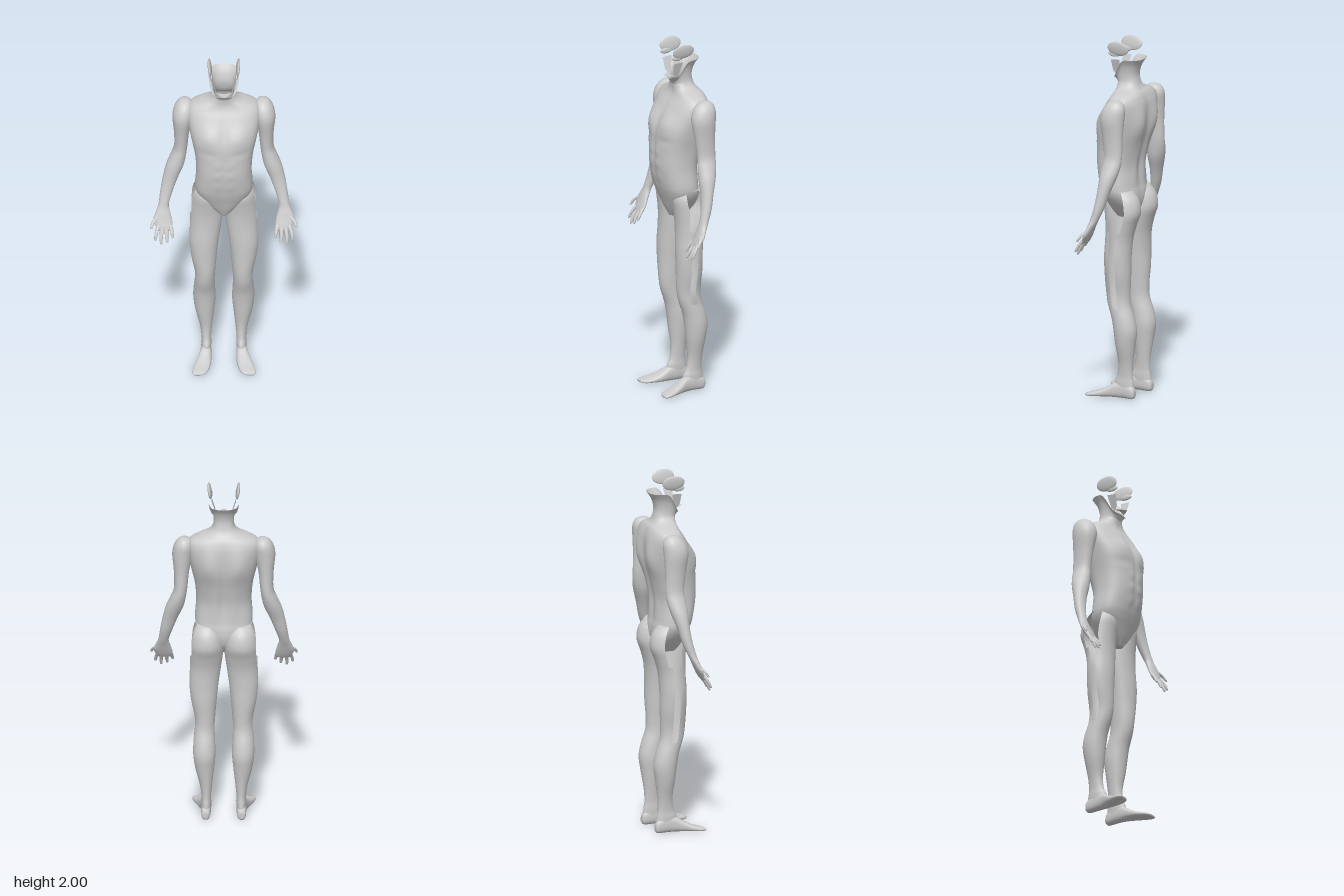
import * as THREE from 'three';

const material = new THREE.MeshStandardMaterial({ color: 0xcccccc, side: THREE.DoubleSide });

// Catmull-Rom blend of matching numbers in four rows
function blend(a, b, c, d, t) {
  return b.map((p, i) => p + 0.5 * t * (c[i] - a[i] +
    t * (2 * a[i] - 5 * p + 4 * c[i] - d[i] + t * (3 * (p - c[i]) + d[i] - a[i]))));
}

// Skin over cross-sections. Row: [height, xMin, xMax, zMin, zMax].
// shape(point, angle) adjusts a point, skip(height, segment) leaves a face out.
function loft(rows, { seg = 32, steps = 5, power = 2, shape, skip, capStart = true, capEnd = true } = {}) {
  const rings = [];
  const at = i => rows[Math.min(Math.max(i, 0), rows.length - 1)];
  for (let i = 0; i < rows.length - 1; i++)
    for (let s = 0; s < steps; s++) rings.push(blend(at(i - 1), at(i), at(i + 1), at(i + 2), s / steps));
  rings.push(at(rows.length - 1));
  const pos = [], index = [];
  const round = v => Math.sign(v) * Math.pow(Math.abs(v), 2 / power);
  for (const [y, xa, xb, za, zb] of rings)
    for (let j = 0; j < seg; j++) {
      const a = j / seg * Math.PI * 2;
      const p = new THREE.Vector3(
        (xa + xb) / 2 + (xb - xa) / 2 * round(Math.cos(a)), y,
        (za + zb) / 2 + (zb - za) / 2 * round(Math.sin(a)));
      if (shape) shape(p, a);
      pos.push(p.x, p.y, p.z);
    }
  for (let i = 0; i < rings.length - 1; i++)
    for (let j = 0; j < seg; j++) {
      if (skip && skip(rings[i][0], j)) continue;
      const k = (j + 1) % seg, a = i * seg + j, b = i * seg + k;
      index.push(a, b, a + seg, b, b + seg, a + seg);
    }
  const cap = (r, flip) => {
    const [y, xa, xb, za, zb] = rings[r], c = pos.length / 3;
    pos.push((xa + xb) / 2, y, (za + zb) / 2);
    for (let j = 0; j < seg; j++) {
      const a = r * seg + j, b = r * seg + (j + 1) % seg;
      index.push(c, flip ? b : a, flip ? a : b);
    }
  };
  if (capStart) cap(0, true);
  if (capEnd) cap(rings.length - 1, false);
  const g = new THREE.BufferGeometry();
  g.setAttribute('position', new THREE.Float32BufferAttribute(pos, 3));
  g.setIndex(index);
  g.computeVertexNormals();
  return g;
}

function part(name, geometry, parent) {
  const m = new THREE.Mesh(geometry, material);
  m.name = name;
  parent.add(m);
  return m;
}

// Muscle relief: [side, x, y, width, height, depth], mirrored in x
const relief = [
  [1, 0.085, 1.56, 0.06, 0.05, 0.016], [1, 0, 1.5, 0.012, 0.2, -0.006],
  [1, 0.035, 1.39, 0.022, 0.022, 0.005], [1, 0.035, 1.32, 0.022, 0.022, 0.005],
  [1, 0.035, 1.24, 0.022, 0.03, 0.004], [1, 0.1, 1.46, 0.06, 0.018, -0.006],
  [-1, 0.085, 1.56, 0.05, 0.09, 0.018], [-1, 0, 1.42, 0.02, 0.2, -0.012],
  [-1, 0.05, 1.28, 0.03, 0.09, 0.006],
];

function shapeTorso(p, a) {
  const s = Math.sin(a), x = Math.abs(p.x), y = p.y;
  for (const [side, cx, cy, w, h, depth] of relief) {
    if (s * side <= 0) continue;
    p.z += side * depth * Math.abs(s) * Math.exp(-(((x - cx) / w) ** 2) - ((y - cy) / h) ** 2);
  }
  // collar is cut down to a V at the throat
  if (y > 1.76) p.y = 1.76 + (y - 1.76) * (1 - 0.8 * THREE.MathUtils.smoothstep(s, -0.1, 0.95));
}

function buildTorso(parent) {
  // [y, half width, back, front]
  const rows = [
    [1.0, 0.03, -0.05, 0.05], [1.05, 0.08, -0.085, 0.072], [1.1, 0.122, -0.1, 0.09],
    [1.15, 0.15, -0.1, 0.108], [1.2, 0.157, -0.092, 0.122], [1.3, 0.151, -0.09, 0.14],
    [1.4, 0.158, -0.113, 0.142], [1.5, 0.178, -0.138, 0.138], [1.58, 0.194, -0.143, 0.106],
    [1.65, 0.2, -0.14, 0.07], [1.69, 0.185, -0.13, 0.045], [1.715, 0.14, -0.118, 0.035],
    [1.735, 0.088, -0.1, 0.033], [1.765, 0.06, -0.086, 0.035], [1.81, 0.056, -0.079, 0.04],
    [1.86, 0.065, -0.092, 0.046], [1.9, 0.084, -0.118, 0.052],
  ].map(([y, w, b, f]) => [y, -w, w, b, f]);
  part('torsoAndNeck', loft(rows, { seg: 96, steps: 6, power: 2.4, shape: shapeTorso, capEnd: false }), parent);
}

function buildArm(parent) {
  part('arm', loft([
    [1.706, 0.205, 0.225, -0.07, -0.05], [1.695, 0.18, 0.247, -0.098, -0.02],
    [1.66, 0.165, 0.27, -0.115, 0.012], [1.6, 0.168, 0.281, -0.113, 0.026],
    [1.5, 0.188, 0.272, -0.108, 0.01], [1.4, 0.198, 0.271, -0.108, -0.002],
    [1.34, 0.206, 0.291, -0.104, 0.002], [1.28, 0.219, 0.315, -0.09, 0.006],
    [1.2, 0.252, 0.334, -0.063, 0.006], [1.12, 0.28, 0.347, -0.042, 0.016],
    [1.05, 0.3, 0.357, -0.014, 0.032], [1.01, 0.293, 0.372, 0.006, 0.046],
    [0.97, 0.283, 0.384, 0.025, 0.06], [0.935, 0.28, 0.372, 0.044, 0.073],
    [0.915, 0.288, 0.36, 0.057, 0.076],
  ]), parent);
  // Each finger: base, knuckle, tip
  const digits = {
    thumb: [[0.362, 0.99, 0.04], [0.386, 0.965, 0.062], [0.397, 0.935, 0.08]],
    indexFinger: [[0.356, 0.945, 0.057], [0.369, 0.905, 0.085], [0.374, 0.868, 0.102]],
    middleFinger: [[0.335, 0.94, 0.058], [0.342, 0.89, 0.088], [0.342, 0.846, 0.106]],
    ringFinger: [[0.313, 0.94, 0.058], [0.313, 0.895, 0.087], [0.308, 0.856, 0.105]],
    littleFinger: [[0.292, 0.945, 0.057], [0.284, 0.912, 0.08], [0.279, 0.882, 0.095]],
  };
  for (const [name, [a, b, c]] of Object.entries(digits)) {
    const ring = ([x, y, z], r) => [y, x - r, x + r, z - r, z + r];
    const nearTip = c.map((v, i) => v + (b[i] - v) * 0.2);
    part(name, loft([ring(a, 0.011), ring(b, 0.0095), ring(nearTip, 0.007), ring(c, 0.002)],
      { seg: 12, steps: 3 }), parent);
  }
}

function buildLeg(parent) {
  // The skin is open along the outer hip and thigh
  const seg = 48;
  const openSeam = (y, j) => {
    if (y < 0.53 || y > 1.17) return false;
    const reach = y > 0.95 ? 4 : 2;
    return j < reach || j >= seg - reach;
  };
  part('leg', loft([
    [1.17, 0.03, 0.155, -0.09, 0.06], [1.12, 0.01, 0.177, -0.128, 0.074],
    [1.05, 0.002, 0.187, -0.139, 0.064], [0.98, 0.005, 0.188, -0.115, 0.056],
    [0.9, 0.015, 0.187, -0.094, 0.055], [0.8, 0.028, 0.19, -0.088, 0.059],
    [0.7, 0.038, 0.18, -0.088, 0.058], [0.6, 0.046, 0.161, -0.084, 0.055],
    [0.53, 0.05, 0.159, -0.087, 0.044], [0.45, 0.047, 0.165, -0.112, 0.018],
    [0.38, 0.045, 0.166, -0.124, 0.006], [0.3, 0.052, 0.155, -0.114, -0.003],
    [0.2, 0.063, 0.131, -0.1, -0.014], [0.13, 0.069, 0.122, -0.097, -0.006],
    [0.09, 0.068, 0.123, -0.103, 0.012], [0.04, 0.07, 0.122, -0.11, 0.02],
  ], { seg, skip: openSeam }), parent);
  // Foot runs heel to toe: [z, xMin, xMax, yTop, ySole], laid along z
  const foot = loft([
    [-0.114, 0.085, 0.112, -0.045, -0.012], [-0.1, 0.074, 0.121, -0.07, 0],
    [-0.05, 0.069, 0.124, -0.09, 0], [0, 0.068, 0.13, -0.085, 0],
    [0.05, 0.069, 0.148, -0.056, 0], [0.1, 0.078, 0.166, -0.033, 0],
    [0.14, 0.095, 0.174, -0.022, 0], [0.16, 0.12, 0.165, -0.014, -0.003],
  ], { seg: 28, power: 2.5 }).rotateX(Math.PI / 2);
  foot.scale(1, 1, 1);
  foot.computeBoundingBox();
  foot.translate(0, -foot.boundingBox.min.y, 0);
  part('foot', foot, parent);
}

function buildHeadSide(parent) {
  // Ear with its lobe
  const ear = part('ear', new THREE.SphereGeometry(1, 28, 18), parent);
  ear.scale.set(0.01, 0.041, 0.065);
  ear.position.set(0.077, 1.959, 0.003);
  ear.rotation.z = -0.17;
  const lobe = part('earLobe', new THREE.SphereGeometry(1, 20, 14), parent);
  lobe.scale.set(0.007, 0.016, 0.036);
  lobe.position.set(0.069, 1.925, 0.033);
  // Thin leaning plate at the side of the jaw
  const outline = new THREE.Shape([[0, 1.895], [0.055, 1.89], [0.05, 1.83], [0.03, 1.8], [0.012, 1.83]]
    .map(([z, y]) => new THREE.Vector2(z, y)));
  const plate = new THREE.ShapeGeometry(outline), p = plate.attributes.position;
  for (let i = 0; i < p.count; i++) p.setXYZ(i, 0.066 - (1.89 - p.getY(i)) * 0.3, p.getY(i), p.getX(i));
  plate.computeVertexNormals();
  part('jawPlate', plate, parent);
}

function buildChin(parent) {
  const outline = new THREE.Shape();
  outline.moveTo(-0.045, 0.03);
  outline.quadraticCurveTo(-0.025, 0.065, 0, 0.084);
  outline.quadraticCurveTo(0.025, 0.065, 0.045, 0.03);
  outline.quadraticCurveTo(0, 0.055, -0.045, 0.03);
  part('chinSliver', new THREE.ShapeGeometry(outline).rotateX(Math.PI / 2).translate(0, 1.81, 0), parent);
}

export function createModel() {
  const model = new THREE.Group();
  model.name = 'figure';
  buildTorso(model);
  buildChin(model);
  for (const side of [1, -1]) {
    const half = new THREE.Group();
    half.name = side > 0 ? 'leftSide' : 'rightSide';
    buildArm(half);
    buildLeg(half);
    buildHeadSide(half);
    half.scale.x = side;
    model.add(half);
  }
  return model;
}
